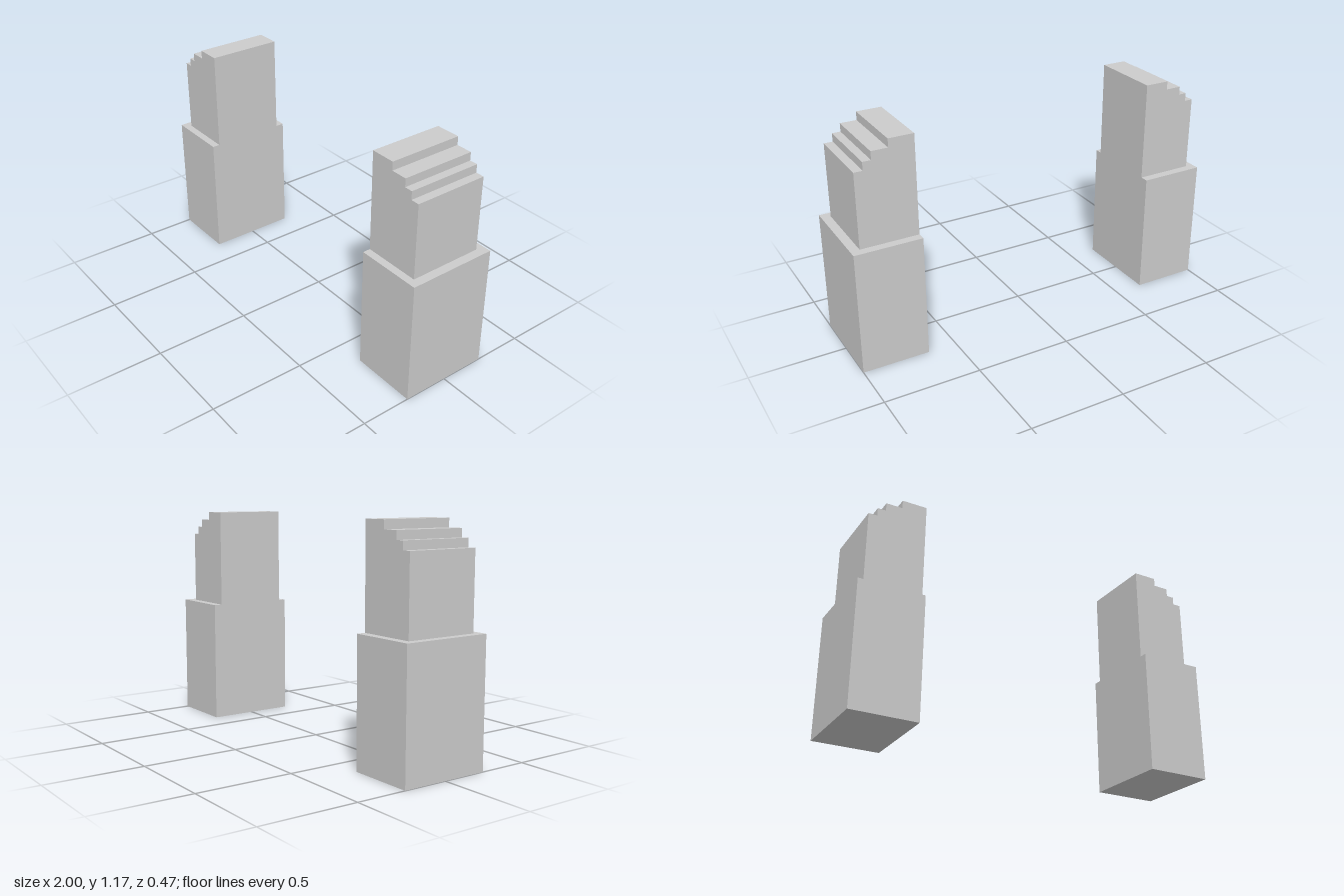
import * as THREE from 'three';

const material = new THREE.MeshStandardMaterial({ color: 0xcccccc, flatShading: true });

// One stepped pillar; side is +1 (left) or -1 (right), inner is the distance of its inner face from the centre
function createPillar(side, inner) {
  const pillar = new THREE.Group();
  pillar.name = side > 0 ? 'leftPillar' : 'rightPillar';

  // Wide plinth
  const width = 1 - inner;
  const plinth = new THREE.Mesh(new THREE.BoxGeometry(width, 0.65, 0.475), material);
  plinth.name = 'plinth';
  plinth.position.set(side * (inner + width / 2), 0.325, 0);
  pillar.add(plinth);

  // Narrower shaft whose top steps down outwards: [offset from inner face, height]
  const steps = [[0.13, 1.17], [0.215, 1.126], [0.258, 1.083], [0.303, 1.04]];
  const points = [[0, 0.65], [0, steps[0][1]]];
  steps.forEach(([x, y], i) => {
    points.push([x, y], [x, i < steps.length - 1 ? steps[i + 1][1] : 0.65]);
  });
  const shape = new THREE.Shape(points.map(([x, y]) => new THREE.Vector2(side * (inner + x), y)));
  const geometry = new THREE.ExtrudeGeometry(shape, { depth: 0.39, bevelEnabled: false });
  geometry.translate(0, 0, -0.193);
  const shaft = new THREE.Mesh(geometry, material);
  shaft.name = 'steppedShaft';
  pillar.add(shaft);
  return pillar;
}

export function createModel() {
  const model = new THREE.Group();
  model.name = 'steppedPillars';
  model.add(createPillar(1, 0.65), createPillar(-1, 0.655));
  return model;
}
